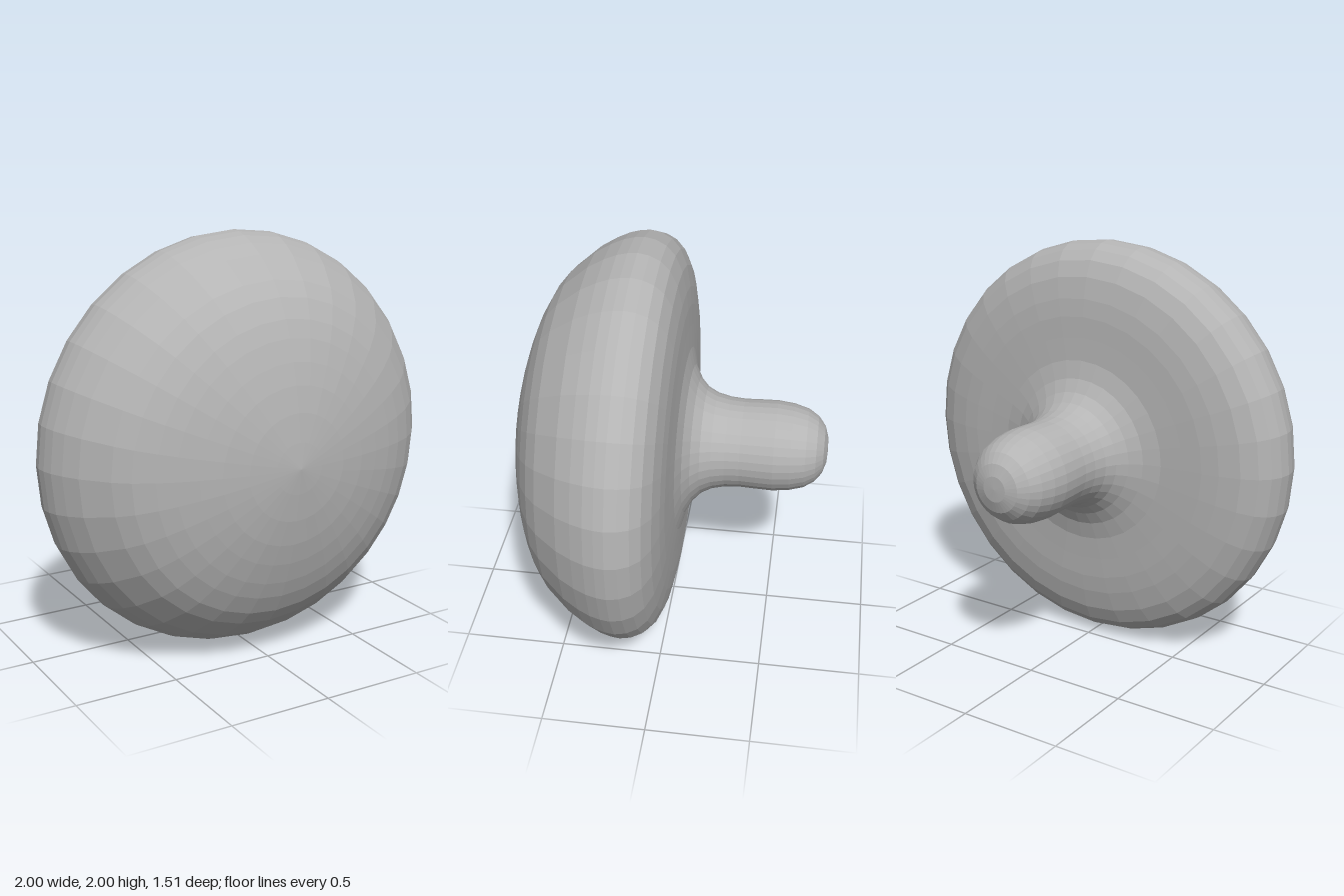
import * as THREE from 'three';

// Half outline as [radius, z], from the rounded stem end at the back to the cap tip at the front
const stemOutline = [
  [0, -0.755], [0.06, -0.752], [0.115, -0.735], [0.16, -0.7], [0.192, -0.65], [0.212, -0.58],
  [0.221, -0.5], [0.219, -0.42], [0.216, -0.34], [0.221, -0.27], [0.236, -0.205],
  [0.262, -0.155], [0.305, -0.115], [0.365, -0.083], [0.45, -0.062],
];
const capOutline = [
  [0.45, -0.062], [0.56, -0.055], [0.66, -0.05], [0.745, -0.04], [0.845, -0.018], [0.92, 0.017],
  [0.965, 0.06], [0.99, 0.11], [1, 0.165], [0.995, 0.21], [0.982, 0.26], [0.955, 0.32],
  [0.91, 0.395], [0.81, 0.51], [0.74, 0.565], [0.65, 0.613], [0.57, 0.645], [0.47, 0.677],
  [0.37, 0.703], [0.25, 0.726], [0.12, 0.743], [0, 0.755],
];

// Turns an outline around the z axis
function turned(name, outline, material) {
  const points = outline.map(([r, z]) => new THREE.Vector2(r, z));
  const geometry = new THREE.LatheGeometry(points, 32);
  geometry.rotateX(Math.PI / 2);
  const mesh = new THREE.Mesh(geometry.toNonIndexed(), material);
  mesh.geometry.computeVertexNormals(); // flat facets
  mesh.name = name;
  return mesh;
}

export function createModel() {
  const grey = new THREE.MeshStandardMaterial({ color: 0xb4b4b4 });
  grey.name = 'plain grey';

  const model = new THREE.Group();
  model.name = 'mushroomKnob';
  model.add(turned('stem', stemOutline, grey), turned('cap', capOutline, grey));
  model.position.y = 1;

  const group = new THREE.Group();
  group.add(model);
  return group;
}
